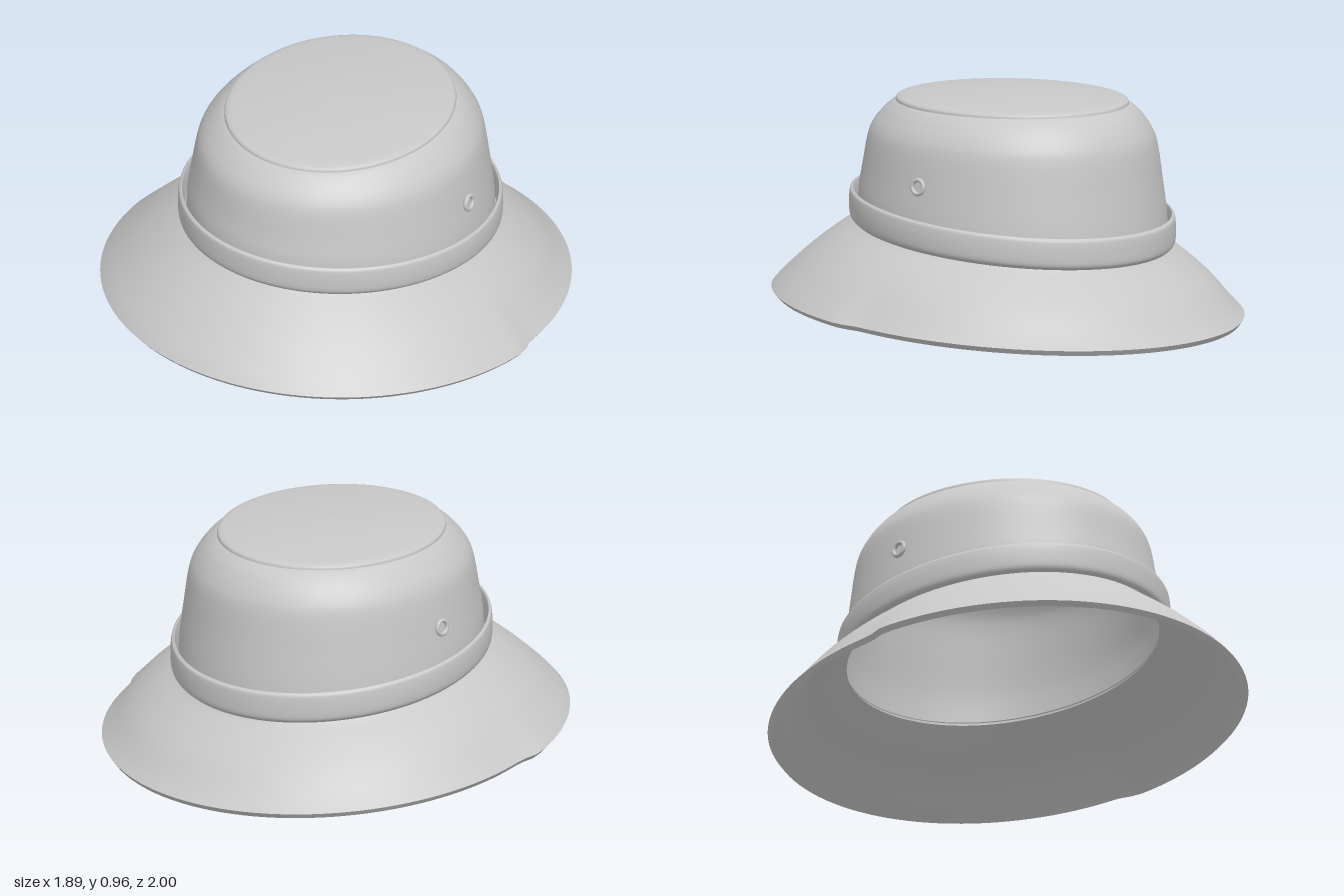
import * as THREE from 'three';

const SEGMENTS = 128;

// Smooth loft through tilted oval sections: [centre y, tilt, x radius, z radius, z centre, side step]
function loft(rows, steps = 5) {
  const at = (i) => rows[Math.max(0, Math.min(rows.length - 1, i))];
  const rings = [];
  for (let i = 0; i < rows.length - 1; i++) {
    for (let s = 0; s < steps; s++) {
      const t = s / steps;
      rings.push(rows[i].map((b, k) => {
        const a = at(i - 1)[k], c = at(i + 1)[k], d = at(i + 2)[k];
        return b + 0.5 * t * (c - a + t * (2 * a - 5 * b + 4 * c - d + t * (3 * (b - c) + d - a)));
      }));
    }
  }
  rings.push(rows[rows.length - 1]);

  const points = [], index = [];
  rings.forEach(([y, tilt, rx, rz, cz, step = 0], r) => {
    for (let i = 0; i < SEGMENTS; i++) {
      const a = (i / SEGMENTS) * Math.PI * 2;
      const z = cz + rz * Math.cos(a);
      // the rear half of the brim is a little narrower than the front half
      const edge = Math.sin(a) > 0 ? -0.06 : 0.02;
      const rear = 1 - THREE.MathUtils.smoothstep(z, edge - 0.05, edge + 0.05);
      points.push((rx - step * rear) * Math.sin(a), y + tilt * z, z);
      if (r < rings.length - 1) {
        const p = r * SEGMENTS + i, q = r * SEGMENTS + (i + 1) % SEGMENTS;
        index.push(p, q, q + SEGMENTS, p, q + SEGMENTS, p + SEGMENTS);
      }
    }
  });
  const geometry = new THREE.BufferGeometry();
  geometry.setAttribute('position', new THREE.Float32BufferAttribute(points, 3));
  geometry.setIndex(index);
  geometry.computeVertexNormals();
  return geometry;
}

export function createModel() {
  const hat = new THREE.Group();
  hat.name = 'bucketHat';
  const felt = new THREE.MeshStandardMaterial({ color: 0xc8c8c8, side: THREE.DoubleSide });
  felt.name = 'light grey felt';

  const add = (name, geometry) => {
    const mesh = new THREE.Mesh(geometry, felt);
    mesh.name = name;
    hat.add(mesh);
    return mesh;
  };

  // Brim: upper surface, thin rim and underside
  add('brimTop', loft([
    [0.095, 0.0725, 0.945, 1.0, 0, 0.028],
    [0.14, 0.08, 0.90, 0.955, 0, 0.022],
    [0.237, 0.09, 0.80, 0.855, -0.01, 0.008],
    [0.317, 0.10, 0.70, 0.755, -0.015, 0],
    [0.372, 0.11, 0.62, 0.68, -0.02, 0],
    [0.392, 0.11, 0.60, 0.662, -0.02, 0],
  ]));
  add('brimEdge', loft([
    [0.075, 0.075, 0.928, 0.985, 0, 0.026],
    [0.095, 0.0725, 0.945, 1.0, 0, 0.028],
  ], 1));
  add('brimUnderside', loft([
    [0.375, 0.11, 0.595, 0.655, -0.02, 0],
    [0.297, 0.10, 0.69, 0.745, -0.015, 0],
    [0.217, 0.09, 0.79, 0.845, -0.01, 0.008],
    [0.12, 0.08, 0.888, 0.943, 0, 0.02],
    [0.075, 0.075, 0.928, 0.985, 0, 0.026],
  ]));

  // Crown wall with rounded shoulder
  add('crownWall', loft([
    [0.375, 0.11, 0.603, 0.664, -0.02],
    [0.50, 0.10, 0.60, 0.662, -0.018],
    [0.63, 0.05, 0.583, 0.643, -0.017],
    [0.76, 0.02, 0.562, 0.622, -0.017],
    [0.82, 0.01, 0.538, 0.598, -0.016],
    [0.87, 0, 0.50, 0.56, -0.015],
    [0.90, 0, 0.468, 0.525, -0.015],
    [0.912, 0, 0.45, 0.505, -0.015],
  ]));

  // Shallow domed top panel with a small raised edge
  add('crownTop', loft([
    [0.912, 0, 0.45, 0.505, -0.015],
    [0.93, 0, 0.438, 0.49, -0.015],
    [0.942, 0, 0.36, 0.40, -0.015],
    [0.958, 0, 0.20, 0.225, -0.015],
    [0.966, 0, 0.001, 0.001, -0.015],
  ]));

  // Hat band, standing slightly off the crown
  add('bandOuter', loft([
    [0.38, 0.10, 0.615, 0.682, -0.016],
    [0.40, 0.10, 0.632, 0.698, -0.016],
    [0.45, 0.10, 0.636, 0.70, -0.016],
    [0.495, 0.10, 0.632, 0.697, -0.016],
    [0.505, 0.10, 0.626, 0.69, -0.016],
  ]));
  add('bandInner', loft([
    [0.505, 0.10, 0.626, 0.69, -0.016],
    [0.50, 0.10, 0.618, 0.68, -0.016],
    [0.40, 0.10, 0.612, 0.672, -0.016],
  ]));

  // Vent eyelets on both sides
  for (const side of [1, -1]) {
    const eyelet = add(side > 0 ? 'leftEyelet' : 'rightEyelet', new THREE.TorusGeometry(0.029, 0.009, 12, 32));
    eyelet.position.set(side * 0.59, 0.63, -0.11);
    eyelet.rotation.set(0, side * (Math.PI / 2 + 0.15), 0);
    eyelet.rotateX(-0.1);
  }

  return hat;
}
